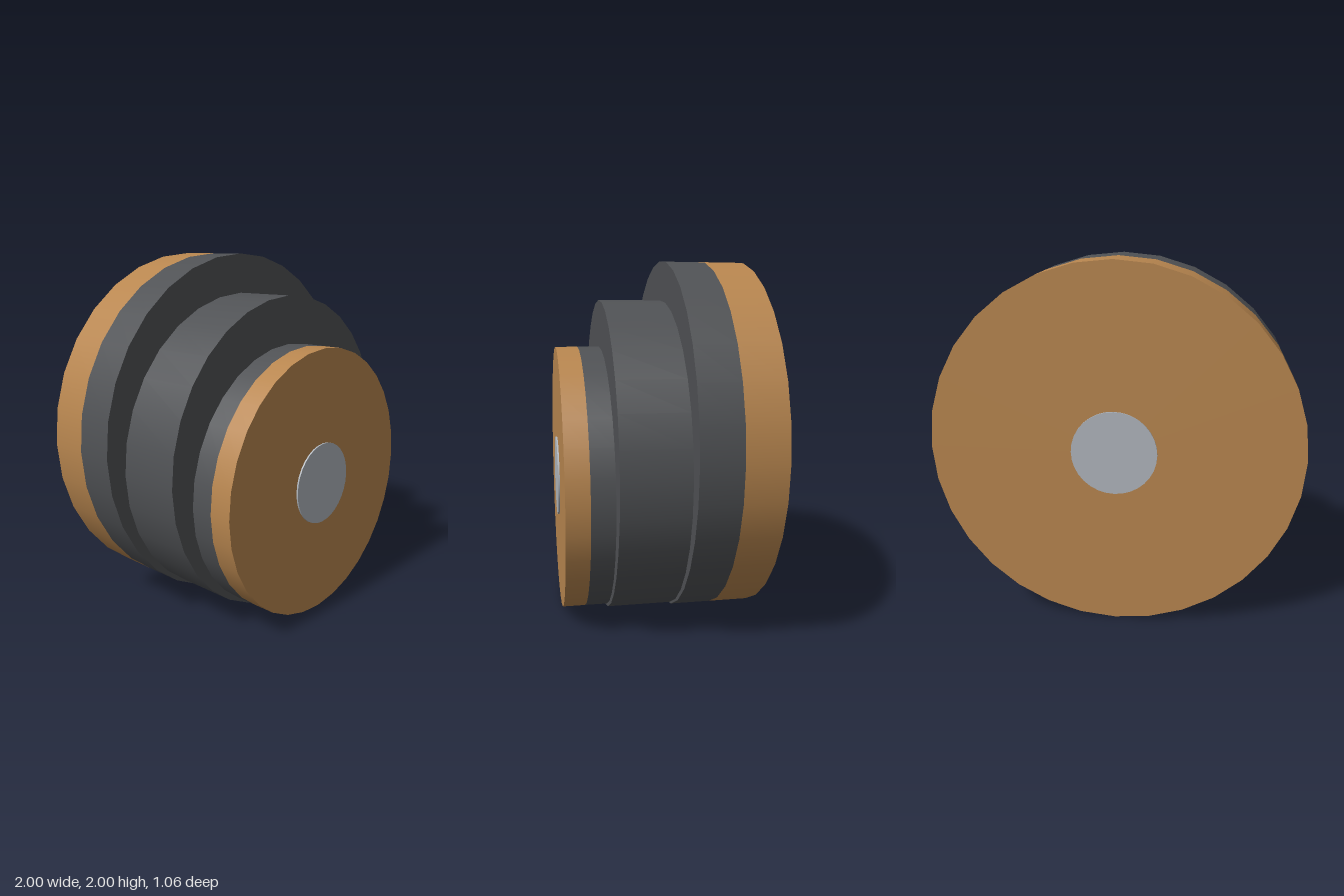
import * as THREE from 'three';

const TAN = new THREE.MeshStandardMaterial({ color: 0xb8864f });
const DARK = new THREE.MeshStandardMaterial({ color: 0x505255 });
const STEEL = new THREE.MeshStandardMaterial({ color: 0xb0b6bd });

// A disc lying along z, from zBack to zFront, centred at height y
function disc(name, material, radius, y, zBack, zFront) {
  const geometry = new THREE.CylinderGeometry(radius, radius, zFront - zBack, 32);
  geometry.rotateX(Math.PI / 2);
  const mesh = new THREE.Mesh(geometry, material);
  mesh.name = name;
  mesh.position.set(0, y, (zBack + zFront) / 2);
  return mesh;
}

export function createModel() {
  const group = new THREE.Group();
  group.name = 'steppedRoller';
  group.add(
    // Large back stage: tan face plate and dark rim
    disc('backPlate', TAN, 1, 1, -0.525, -0.303),
    disc('backRim', DARK, 1, 1, -0.303, -0.083),
    // Middle stage
    disc('middleDrum', DARK, 0.89, 0.89, -0.083, 0.273),
    // Small front stage, resting on the same ground line
    disc('frontRim', DARK, 0.755, 0.76, 0.273, 0.398),
    disc('frontPlate', TAN, 0.755, 0.76, 0.398, 0.523),
    // Thin metal hubs set into both outer faces
    disc('backHub', STEEL, 0.23, 1, -0.532, -0.5),
    disc('frontHub', STEEL, 0.23, 0.76, 0.5, 0.532),
  );
  return group;
}
